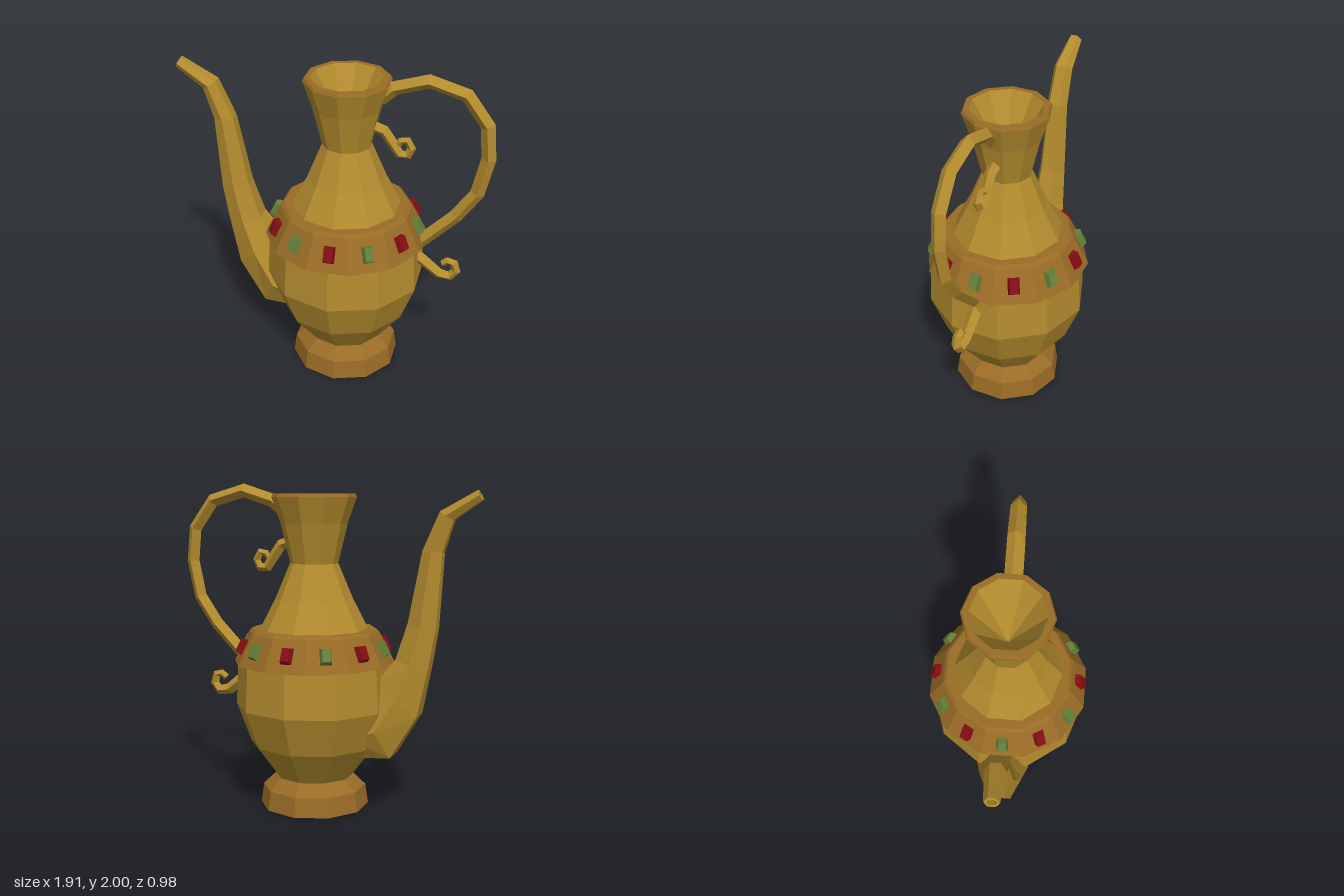
import * as THREE from 'three';

const gold = new THREE.MeshStandardMaterial({ color: 0xb48c2e });
gold.name = 'gold';
const bronze = new THREE.MeshStandardMaterial({ color: 0x9a6c26 });
bronze.name = 'bronze';
const red = new THREE.MeshStandardMaterial({ color: 0x860d14 });
red.name = 'red gem';
const green = new THREE.MeshStandardMaterial({ color: 0x638038 });
green.name = 'green gem';

const AXIS_X = 0.08; // the vessel's axis

// One normal per face, for the faceted look
function faceted(geometry) {
  const g = geometry.index ? geometry.toNonIndexed() : geometry;
  g.computeVertexNormals();
  return g;
}

function mesh(name, geometry, material) {
  const m = new THREE.Mesh(faceted(geometry), material);
  m.name = name;
  return m;
}

function turned(name, profile, sides, material, start = 0) {
  const points = profile.map(([r, y]) => new THREE.Vector2(r, y));
  const m = mesh(name, new THREE.LatheGeometry(points, sides, start), material);
  m.position.x = AXIS_X;
  return m;
}

// Skin over sections { x, y, ux, uy, w }: centre, in-plane half vector, half width in z
function loft(sections, sides) {
  const pos = [], index = [];
  for (const s of sections) {
    for (let j = 0; j < sides; j++) {
      const a = (j / sides) * Math.PI * 2;
      pos.push(s.x + s.ux * Math.sin(a), s.y + s.uy * Math.sin(a), s.w * Math.cos(a));
    }
  }
  const last = sections.length - 1;
  for (let i = 0; i < last; i++) {
    for (let j = 0; j < sides; j++) {
      const k = (j + 1) % sides;
      const a = i * sides + j, b = i * sides + k;
      index.push(a, a + sides, b, b, a + sides, b + sides);
    }
  }
  for (let j = 1; j < sides - 1; j++) {
    index.push(0, j, j + 1);
    index.push(last * sides, last * sides + j + 1, last * sides + j);
  }
  const g = new THREE.BufferGeometry();
  g.setAttribute('position', new THREE.Float32BufferAttribute(pos, 3));
  g.setIndex(index);
  return g;
}

// Four-sided bar along a path in the xy plane, mitred at the bends
function bar(path, startRadius, endRadius) {
  const n = path.length - 1;
  const sections = path.map(([x, y], i) => {
    const p = path[Math.max(i - 1, 0)], q = path[Math.min(i + 1, n)];
    const dx = q[0] - p[0], dy = q[1] - p[1], len = Math.hypot(dx, dy);
    const r = startRadius + (endRadius - startRadius) * (i / n);
    return { x, y, ux: (-dy / len) * r, uy: (dx / len) * r, w: r };
  });
  return loft(sections, 4);
}

function createSpout() {
  // outer x, outer y, inner x, inner y, half width
  const rows = [
    [-0.26, 0.34, -0.18, 0.60, 0.16],
    [-0.44, 0.355, -0.28, 0.70, 0.165],
    [-0.60, 0.62, -0.36, 0.83, 0.135],
    [-0.66, 0.91, -0.46, 0.96, 0.105],
    [-0.70, 1.14, -0.53, 1.18, 0.085],
    [-0.73, 1.60, -0.61, 1.61, 0.066],
    [-0.79, 1.79, -0.71, 1.84, 0.06],
    [-0.955, 1.905, -0.925, 1.96, 0.042],
  ];
  const k = 0.5 / Math.sin(Math.PI / 3);
  const sections = rows.map(([ox, oy, ix, iy, w]) => ({
    x: (ox + ix) / 2, y: (oy + iy) / 2, ux: (ox - ix) * k, uy: (oy - iy) * k, w,
  }));
  // Lip and hollow mouth
  const tip = sections[sections.length - 1];
  const inset = (x, y, f) => ({ x, y, ux: tip.ux * f, uy: tip.uy * f, w: tip.w * f });
  sections.push(inset(tip.x, tip.y, 0.65), inset(tip.x + 0.13, tip.y - 0.08, 0.55));
  return mesh('spout', loft(sections, 6), gold);
}

// Cut gem: a block whose outer face is smaller
function gemGeometry() {
  const g = new THREE.BoxGeometry(0.082, 0.112, 0.06);
  const p = g.attributes.position;
  for (let i = 0; i < p.count; i++) {
    if (p.getZ(i) > 0) p.setXY(i, p.getX(i) * 0.62, p.getY(i) * 0.72);
  }
  return g;
}

function createGems() {
  const gems = new THREE.Group();
  gems.name = 'gems';
  gems.position.x = AXIS_X;
  for (let i = 0; i < 12; i++) {
    const holder = new THREE.Group();
    holder.name = 'gemSetting';
    holder.rotation.y = (i * Math.PI) / 6;
    const gem = mesh('gem', gemGeometry(), i % 2 ? green : red);
    gem.position.set(0, 1.01, 0.441);
    gem.rotation.x = -0.45;
    holder.add(gem);
    gems.add(holder);
  }
  return gems;
}

export function createModel() {
  const model = new THREE.Group();
  model.name = 'ewer';

  // Foot, body with neck and hollow throat, rim, and the twelve-sided collar
  model.add(
    turned('foot', [[0, 0], [0.34, 0], [0.322, 0.12], [0.247, 0.19], [0, 0.19]], 10, bronze),
    turned('body', [
      [0.24, 0.185], [0.40, 0.40], [0.49, 0.64], [0.475, 0.92], [0.335, 1.115],
      [0.24, 1.30], [0.148, 1.52], [0.205, 1.76], [0.26, 1.92],
    ], 10, gold),
    turned('rim', [[0.26, 1.92], [0.25, 1.938], [0.215, 1.938]], 10, bronze),
    turned('throat', [[0.215, 1.938], [0, 1.56]], 10, gold),
    turned('collar', [
      [0.42, 0.91], [0.5, 0.91], [0.404, 1.10], [0.385, 1.118], [0.30, 1.118],
    ], 12, bronze, Math.PI / 12),
  );

  model.add(createGems(), createSpout());

  // Handle with its two scrolls
  model.add(
    mesh('handle', bar([
      [0.27, 1.82], [0.35, 1.895], [0.55, 1.957], [0.765, 1.895], [0.893, 1.72],
      [0.913, 1.515], [0.865, 1.285], [0.75, 1.115], [0.50, 0.86],
    ], 0.043, 0.043), gold),
    mesh('upperScroll', bar([
      [0.22, 1.65], [0.30, 1.625], [0.345, 1.56], [0.395, 1.485], [0.445, 1.485],
      [0.465, 1.53], [0.44, 1.58], [0.40, 1.57], [0.385, 1.545],
    ], 0.038, 0.02), gold),
    mesh('lowerScroll', bar([
      [0.49, 0.83], [0.57, 0.77], [0.67, 0.69], [0.74, 0.68],
      [0.775, 0.725], [0.76, 0.78], [0.72, 0.79], [0.69, 0.765],
    ], 0.042, 0.022), gold),
  );

  return model;
}
